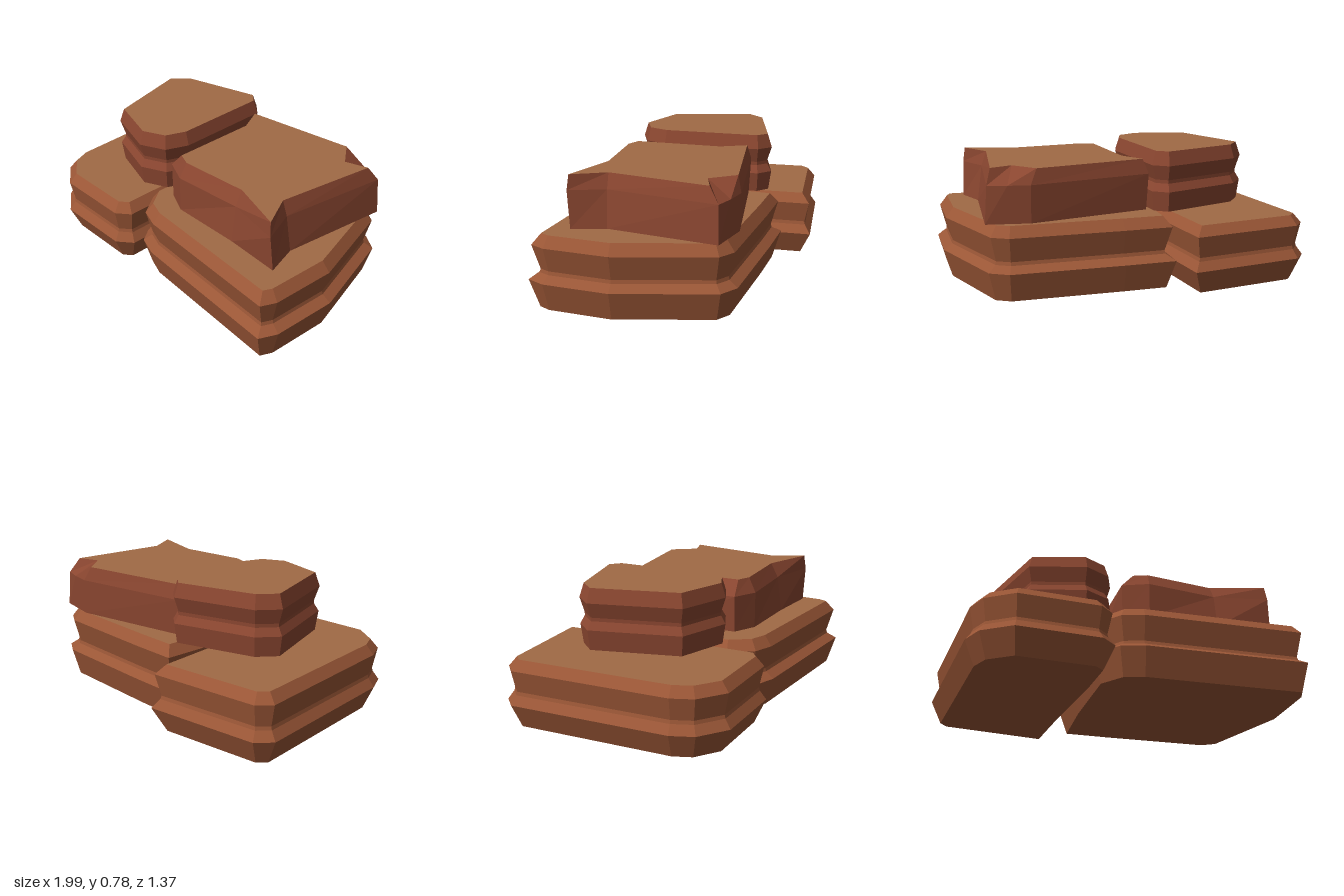
import * as THREE from 'three';

const rock = (color) => new THREE.MeshStandardMaterial({ color, flatShading: true });

// Moves every edge of a clockwise (seen from above) outline inward by d.
function inset(outline, d) {
  const n = outline.length;
  return outline.map(([x, z], i) => {
    const [px, pz] = outline[(i + n - 1) % n];
    const [qx, qz] = outline[(i + 1) % n];
    const a = new THREE.Vector2(pz - z, x - px).normalize();
    const b = new THREE.Vector2(z - qz, qx - x).normalize();
    const k = d / Math.max(0.5, 1 + a.dot(b));
    return [x + (a.x + b.x) * k, z + (a.y + b.y) * k];
  });
}

function meshFrom(name, positions, material) {
  const geometry = new THREE.BufferGeometry();
  geometry.setAttribute('position', new THREE.Float32BufferAttribute(positions, 3));
  geometry.computeVertexNormals();
  const mesh = new THREE.Mesh(geometry, material);
  mesh.name = name;
  return mesh;
}

// Closes a ring with a flat face pointing up or down.
function cap(ring, y, up) {
  const pts = ring.map(([x, z]) => new THREE.Vector2(x, z));
  const out = [];
  for (const [i, j, k] of THREE.ShapeUtils.triangulateShape(pts, [])) {
    const cross = pts[j].clone().sub(pts[i]).cross(pts[k].clone().sub(pts[i]));
    const order = (cross < 0) === up ? [i, j, k] : [i, k, j];
    for (const v of order) out.push(pts[v].x, y, pts[v].y);
  }
  return out;
}

// Layers are [height, inset] or [height, own outline], from bottom to top.
function slab(name, outline, layers, sideMaterial, topMaterial) {
  const rings = layers.map(([y, d]) => ({ y, pts: Array.isArray(d) ? d : inset(outline, d) }));
  const sides = cap(rings[0].pts, rings[0].y, false);
  for (let r = 0; r < rings.length - 1; r++) {
    const lo = rings[r], hi = rings[r + 1], n = lo.pts.length;
    for (let i = 0; i < n; i++) {
      const j = (i + 1) % n;
      const at = (ring, k) => [ring.pts[k][0], ring.y, ring.pts[k][1]];
      const a = at(lo, i), b = at(lo, j), c = at(hi, i), d = at(hi, j);
      sides.push(...a, ...c, ...b, ...b, ...c, ...d);
    }
  }
  const last = rings[rings.length - 1];
  const group = new THREE.Group();
  group.name = name;
  group.add(meshFrom(name + 'Sides', sides, sideMaterial));
  group.add(meshFrom(name + 'Top', cap(last.pts, last.y, true), topMaterial));
  return group;
}

export function createModel() {
  const lowerSide = rock(0x9a5636);
  const upperSide = rock(0x8a4630);
  const top = rock(0xa06a45);
  const model = new THREE.Group();
  model.name = 'rockStack';

  // Long ledge on the right, two layers with a groove between
  model.add(slab('rightLedge', [
    [-1, -0.56], [-0.92, -0.64], [-0.24, -0.685], [-0.23, -0.3], [-0.2, 0.3],
    [-0.2, 0.58], [-0.29, 0.65], [-0.76, 0.64], [-0.92, 0.52], [-0.97, 0.39],
  ], [[0, 0.06], [0.14, 0], [0.19, 0.035], [0.21, 0.04], [0.335, 0.015], [0.39, 0.06]],
  lowerSide, top));

  // Wide ledge on the left
  model.add(slab('leftLedge', [
    [-0.2, -0.51], [0.1, -0.49], [0.75, -0.43], [0.85, -0.36], [0.99, 0.2],
    [0.96, 0.58], [0.91, 0.68], [-0.03, 0.59], [-0.16, 0.54], [-0.26, 0.39], [-0.24, -0.1],
  ], [[0, 0.045], [0.165, 0], [0.2, 0.05], [0.22, 0.055], [0.36, 0.02], [0.42, 0.065]],
  lowerSide, top));

  // Small double-layered rock on top of the right ledge
  model.add(slab('rightUpperRock', [
    [-0.755, -0.21], [-0.655, -0.32], [-0.18, -0.44], [-0.105, -0.37],
    [-0.105, 0.21], [-0.16, 0.34], [-0.31, 0.405], [-0.625, 0.3],
  ], [[0.435, 0.015], [0.55, 0], [0.595, 0.025], [0.615, 0.025], [0.7, 0], [0.78, 0.025]],
  upperSide, top));

  // Broad rock on top of the left ledge, with a chipped back corner
  const base = [
    [-0.09, -0.32], [0.62, -0.41], [0.74, -0.38], [0.86, -0.35], [0.76, 0.28],
    [0.81, 0.47], [0.48, 0.44], [0.06, 0.43], [-0.08, 0.36], [-0.08, -0.1],
  ];
  const shoulder = [
    [-0.1, -0.33], [0.62, -0.415], [0.74, -0.385], [0.845, -0.345], [0.73, 0.285],
    [0.8, 0.485], [0.48, 0.41], [0.06, 0.43], [-0.085, 0.36], [-0.06, -0.13],
  ];
  const crown = [
    [-0.07, -0.31], [0.58, -0.39], [0.68, -0.25], [0.81, -0.29], [0.7, 0.285],
    [0.79, 0.475], [0.48, 0.365], [0.07, 0.385], [-0.01, 0.35], [0, -0.16],
  ];
  model.add(slab('leftUpperRock', base,
    [[0.435, base], [0.645, shoulder], [0.73, crown]], upperSide, top));

  return model;
}
